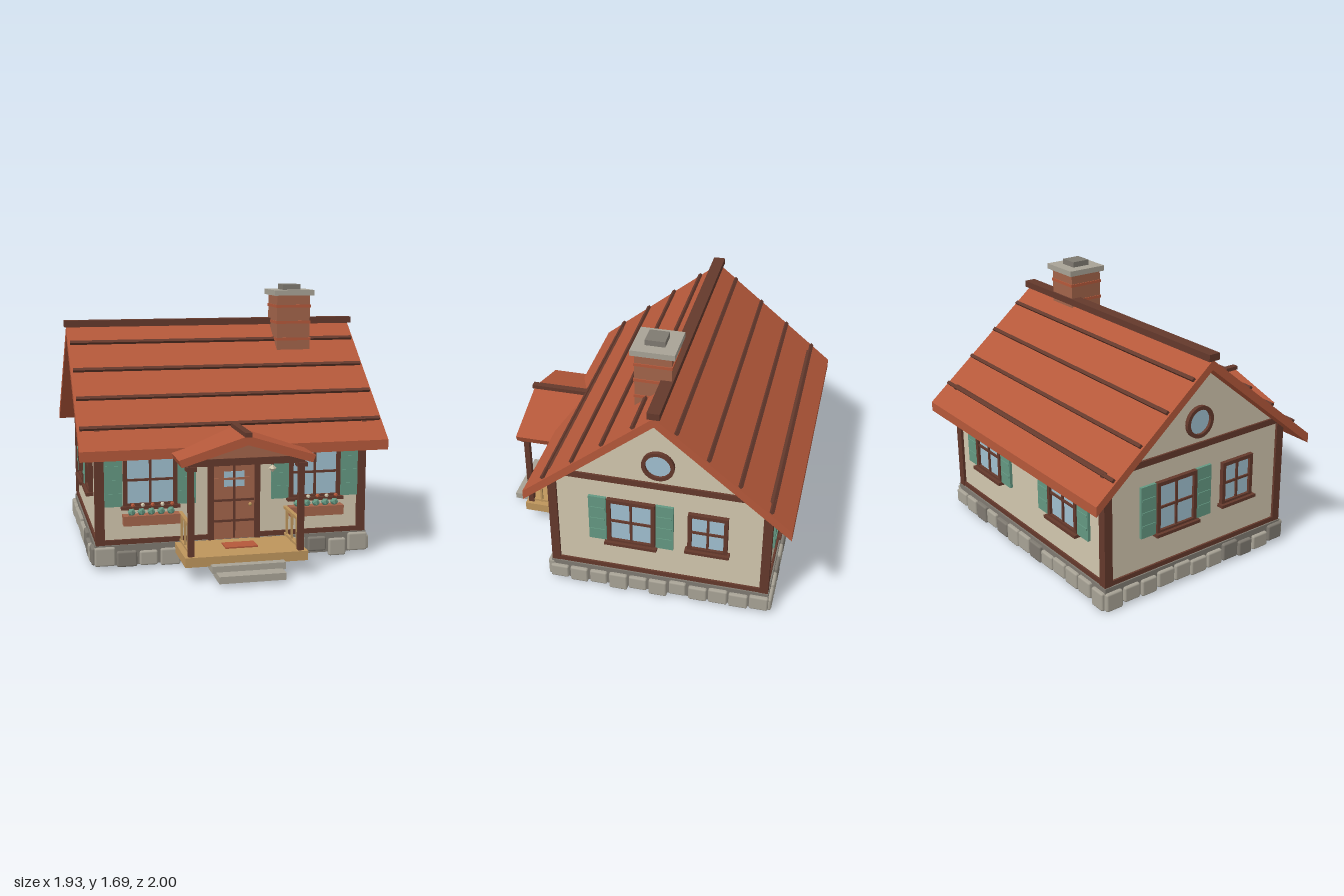
import * as THREE from 'three';
import { RoundedBoxGeometry } from 'three/addons/geometries/RoundedBoxGeometry.js';

const paint = (name, color) => Object.assign(new THREE.MeshStandardMaterial({ color }), { name });

export function createModel() {
  const roofRed = paint('roof red', 0xb5583a);
  const plaster = paint('plaster', 0xd2c7ae);
  const timber = paint('dark timber', 0x64392c);
  const glass = paint('window glass', 0xa0c0d0);
  const green = paint('shutter green', 0x649882);
  const brick = paint('brick brown', 0xa3644a);
  const stone = paint('light stone', 0xa8a396);
  const darkStone = paint('dark stone', 0x7f7a71);
  const deckWood = paint('deck wood', 0xbe955c);

  const house = new THREE.Group();
  house.name = 'cottage';
  const MID = -0.185; // z of the main ridge
  const WALL_X = 0.84, FRONT = 0.49, BACK = -0.86;

  const add = (parent, name, geo, mat, x = 0, y = 0, z = 0) => {
    const m = new THREE.Mesh(geo, mat);
    m.name = name;
    m.position.set(x, y, z);
    parent.add(m);
    return m;
  };
  const box = (parent, name, mat, w, h, d, x, y, z) =>
    add(parent, name, new THREE.BoxGeometry(w, h, d), mat, x, y, z);
  // box given by its lower and upper limits
  const span = (name, mat, x0, x1, y0, y1, z0, z1, parent = house) =>
    box(parent, name, mat, x1 - x0, y1 - y0, z1 - z0, (x0 + x1) / 2, (y0 + y1) / 2, (z0 + z1) / 2);
  const prism = (pts, depth) => new THREE.ExtrudeGeometry(
    new THREE.Shape(pts.map(p => new THREE.Vector2(...p))), { depth, bevelEnabled: false }).translate(0, 0, -depth / 2);
  const group = (name, x, y, z, turn = 0) => {
    const g = new THREE.Group();
    g.name = name;
    g.position.set(x, y, z);
    g.rotation.y = turn;
    house.add(g);
    return g;
  };

  // Foundation with a ring of uneven stones
  span('foundation', darkStone, -0.862, 0.862, 0.03, 0.155, -0.882, 0.512);
  let seed = 7;
  const rnd = () => (seed = (seed * 16807) % 2147483647) / 2147483647;
  const stoneRow = (count, length, place) => {
    const step = length / count;
    for (let i = 0; i < count; i++) {
      const w = step * (0.82 + 0.14 * rnd()), h = 0.09 + 0.03 * rnd();
      const geo = new RoundedBoxGeometry(w, h, 0.045, 1, 0.012);
      const m = add(house, 'foundationStone', geo, rnd() < 0.22 ? darkStone : stone);
      place(m, -length / 2 + step * (i + 0.5), 0.077 + (rnd() - 0.5) * 0.03);
    }
  };
  for (const s of [-1, 1]) {
    stoneRow(13, 1.74, (m, t, y) => m.position.set(t, y, s > 0 ? 0.512 : -0.882));
    stoneRow(11, 1.41, (m, t, y) => {
      m.position.set(s * 0.862, y, MID + t);
      m.rotation.y = Math.PI / 2;
    });
  }

  // Plaster walls with both gables
  add(house, 'walls', prism([[-0.675, 0.15], [0.675, 0.15], [0.675, 0.82], [0, 1.38], [-0.675, 0.82]], 2 * WALL_X)
    .rotateY(Math.PI / 2), plaster, 0, 0, MID);

  // Timber frame
  for (const sx of [-1, 1]) {
    for (const z of [0.48, -0.85]) box(house, 'cornerPost', timber, 0.055, 0.7, 0.055, sx * 0.828, 0.505, z);
    box(house, 'gableBaseBeam', timber, 0.03, 0.03, 1.36, sx * 0.838, 0.17, MID);
    box(house, 'gableTieBeam', timber, 0.03, 0.04, 1.39, sx * 0.838, 0.865, MID);
  }
  for (const z of [0.485, -0.855]) {
    box(house, 'wallBaseBeam', timber, 1.69, 0.03, 0.035, 0, 0.17, z);
    box(house, 'wallTopBeam', timber, 1.7, 0.04, 0.03, 0, 0.865, z);
  }

  // Main roof, battens and ridge cap
  add(house, 'mainRoof', prism([[-0.815, 0.7], [0, 1.37], [0.815, 0.7], [0.815, 0.762], [0, 1.43], [-0.815, 0.762]], 1.908)
    .rotateY(Math.PI / 2), roofRed, 0, 0, MID);
  const pitch = Math.atan2(0.668, 0.815);
  for (const s of [-1, 1]) for (const d of [0.125, 0.312, 0.498, 0.685]) {
    box(house, 'roofBatten', timber, 1.88, 0.026, 0.022, 0, 1.436 - d * 0.8196, MID + s * d).rotation.x = s * pitch;
  }
  box(house, 'ridgeCap', timber, 1.932, 0.042, 0.075, 0, 1.449, MID);

  // Chimney
  span('chimneyStack', brick, 0.405, 0.628, 1.15, 1.63, -0.213, 0.01);
  for (const y of [1.34, 1.45, 1.555]) box(house, 'chimneyBand', roofRed, 0.233, 0.018, 0.233, 0.5165, y, -0.1015);
  span('chimneyCap', stone, 0.383, 0.653, 1.625, 1.66, -0.236, 0.03);
  span('chimneyFlue', darkStone, 0.458, 0.578, 1.66, 1.695, -0.162, -0.042);

  // Window facing local +z, with optional shutters
  const addWindow = (x, y, z, turn, w, h, shutters) => {
    const g = group('window', x, y, z, turn), t = 0.024;
    box(g, 'pane', glass, w - t, h - t, 0.008, 0, 0, 0.005);
    for (const s of [-1, 1]) {
      box(g, 'frameSide', timber, t, h, 0.03, s * (w - t) / 2, 0, 0.012);
      box(g, 'frameRail', timber, w, t, 0.03, 0, s * (h - t) / 2, 0.012);
      if (!shutters) continue;
      const sx = s * (w / 2 + 0.06);
      box(g, 'shutter', green, 0.11, 0.33, 0.018, sx, 0.005, 0.012);
      for (const sy of [-0.085, 0, 0.085]) box(g, 'shutterSlat', green, 0.094, 0.014, 0.012, sx, sy, 0.02);
    }
    box(g, 'mullion', timber, 0.014, h, 0.02, 0, 0, 0.01);
    box(g, 'crossbar', timber, w, 0.014, 0.02, 0, 0, 0.01);
    box(g, 'sill', timber, w + 0.03, 0.02, 0.05, 0, -h / 2, 0.022);
  };
  for (const s of [-1, 1]) {
    const turn = s * Math.PI / 2, wx = s * WALL_X;
    addWindow(s * 0.52, 0.553, FRONT, 0, 0.33, 0.335, true);
    addWindow(s * 0.43, 0.553, BACK, Math.PI, 0.3, 0.335, true);
    addWindow(wx, 0.553, MID + s * 0.17, turn, 0.3, 0.335, true);
    addWindow(wx, 0.56, MID - s * 0.307, turn, 0.245, 0.285, false);
    // Round attic window
    const g = group('atticWindow', wx, 1.02, MID, turn);
    add(g, 'roundPane', new THREE.CircleGeometry(0.085, 12), glass, 0, 0, 0.006);
    const ring = new THREE.Shape().absarc(0, 0, 0.1, 0, Math.PI * 2);
    ring.holes.push(new THREE.Path().absarc(0, 0, 0.077, 0, Math.PI * 2, true));
    add(g, 'roundFrame', new THREE.ExtrudeGeometry(ring, { depth: 0.024, bevelEnabled: false, curveSegments: 12 }), timber);

    // Flower box
    const f = group('flowerBox', s * 0.52, 0.315, 0.535);
    box(f, 'planter', brick, 0.345, 0.06, 0.07, 0, 0, 0);
    for (let i = -2; i <= 2; i++) {
      add(f, 'leaves', new THREE.IcosahedronGeometry(0.026, 0), green, i * 0.06, 0.048, 0);
      add(f, 'blossom', new THREE.IcosahedronGeometry(0.014, 0), i % 2 ? plaster : roofRed, i * 0.06 + 0.008, 0.09, 0.006);
    }
  }

  // Front door
  const door = group('door', 0, 0, FRONT);
  span('doorLeaf', brick, -0.13, 0.13, 0.155, 0.655, 0, 0.02, door);
  for (const s of [-1, 1]) box(door, 'doorJamb', timber, 0.034, 0.53, 0.04, s * 0.146, 0.42, 0.015);
  box(door, 'doorLintel', timber, 0.326, 0.034, 0.04, 0, 0.67, 0.015);
  box(door, 'doorGlass', glass, 0.13, 0.095, 0.008, 0, 0.533, 0.021);
  box(door, 'doorStile', timber, 0.014, 0.49, 0.012, 0, 0.405, 0.02);
  for (const y of [0.27, 0.4, 0.535]) box(door, 'doorRail', y > 0.5 ? brick : timber, 0.25, 0.014, 0.012, 0, y, 0.021);
  add(door, 'doorKnob', new THREE.SphereGeometry(0.012, 8, 6), deckWood, 0.1, 0.37, 0.03);

  // Wall lantern
  const lantern = group('lantern', 0.235, 0.595, FRONT);
  box(lantern, 'lanternArm', timber, 0.012, 0.012, 0.06, 0, 0.03, 0.03);
  add(lantern, 'lanternLight', new THREE.OctahedronGeometry(0.026), plaster, 0, 0, 0.055);

  // Porch deck, mat and steps
  span('porchDeck', deckWood, -0.373, 0.373, 0.095, 0.153, 0.49, 0.86);
  span('doorMat', roofRed, -0.1, 0.1, 0.153, 0.162, 0.61, 0.72);
  span('upperStep', stone, -0.222, 0.222, 0.065, 0.108, 0.76, 0.912);
  span('lowerStep', stone, -0.2, 0.2, 0.03, 0.072, 0.83, 1);

  // Porch posts and railings
  for (const s of [-1, 1]) {
    const x = s * 0.333;
    box(house, 'porchPost', timber, 0.035, 0.53, 0.035, x, 0.415, 0.826);
    box(house, 'postCapital', timber, 0.062, 0.026, 0.062, x, 0.678, 0.826);
    box(house, 'porchSideBeam', timber, 0.03, 0.03, 0.36, x, 0.7, 0.66);
    box(house, 'handrail', deckWood, 0.022, 0.018, 0.33, x, 0.332, 0.655);
    box(house, 'lowerRail', deckWood, 0.016, 0.014, 0.33, x, 0.165, 0.655);
    for (const z of [0.535, 0.645, 0.755]) box(house, 'baluster', deckWood, 0.014, 0.18, 0.014, x, 0.24, z);
  }
  box(house, 'porchFrontBeam', timber, 0.7, 0.042, 0.04, 0, 0.71, 0.826);

  // Porch roof
  add(house, 'porchGable', prism([[-0.29, 0.72], [0.29, 0.72], [0, 0.81]], 0.03), brick, 0, 0, 0.826);
  add(house, 'porchRoof', prism([[-0.392, 0.692], [0, 0.81], [0.392, 0.692], [0.41, 0.735], [0, 0.864], [-0.41, 0.735]], 0.39),
    roofRed, 0, 0, 0.675);
  span('porchRidgeCap', timber, -0.021, 0.021, 0.858, 0.884, 0.49, 0.882);

  return house;
}
